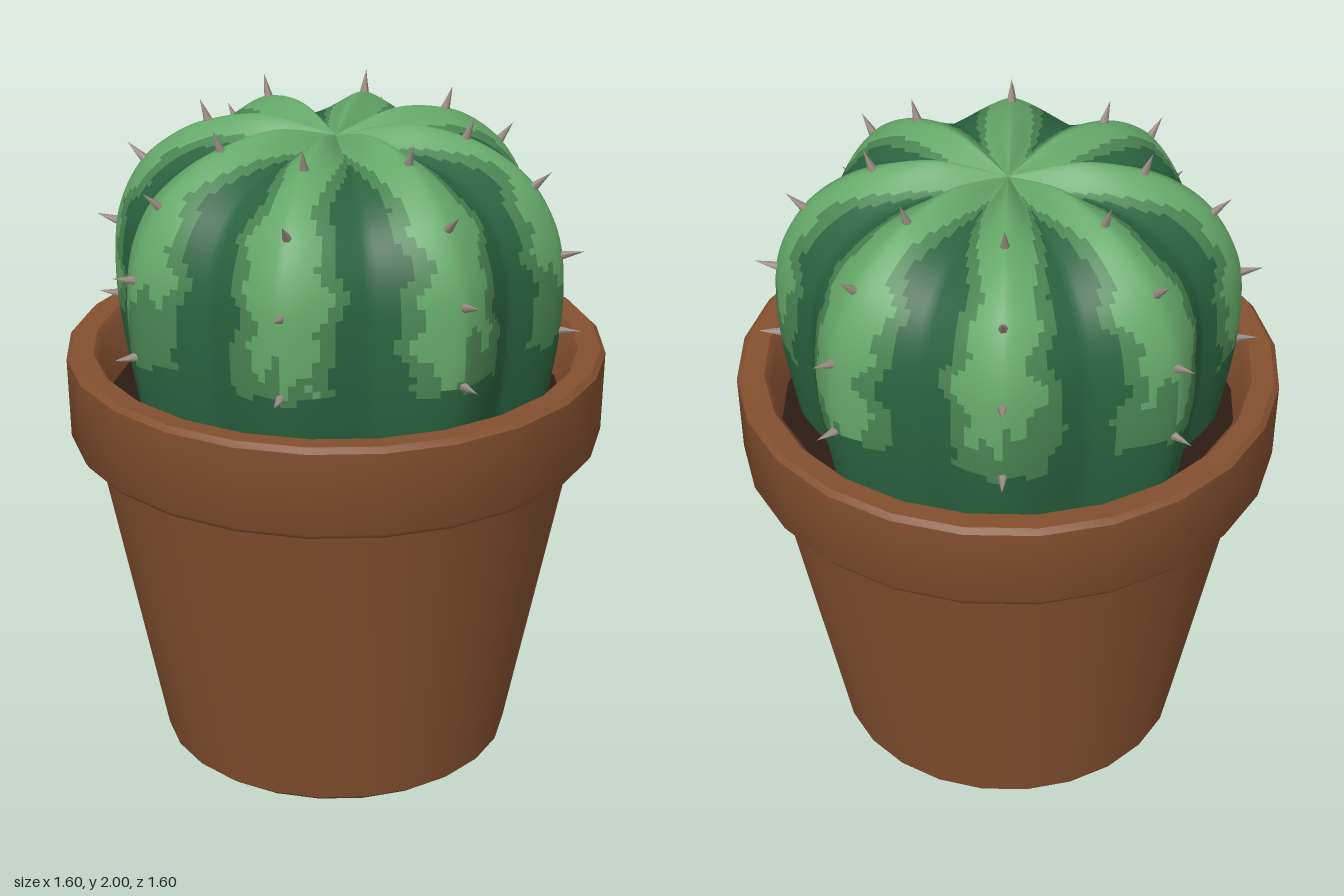
import * as THREE from 'three';
import { toCreasedNormals } from 'three/addons/utils/BufferGeometryUtils.js';

const material = (name, color) => {
  const m = new THREE.MeshStandardMaterial({ color });
  m.name = name;
  return m;
};
const clay = material('terracotta', 0x84502f);
const earth = material('dark soil', 0x2c1c13);
const spineGrey = material('spine grey', 0x9a8c82);
const greens = [
  material('dark green', 0x2a6340),
  material('middle green', 0x4a8452),
  material('light green', 0x65a869),
];

const LOBES = 8, PER_LOBE = 24, ROWS = 64;
const curve = (pts) => new THREE.SplineCurve(pts.map(([r, y]) => new THREE.Vector2(r, y)));

// Side profiles along a rib crest and along a groove, bottom to top
const crest = curve([[0.62, 1.08], [0.66, 1.3], [0.675, 1.48], [0.66, 1.65], [0.595, 1.79],
  [0.5, 1.88], [0.38, 1.94], [0.2, 1.968], [0, 1.92]]);
const groove = curve([[0.55, 1.08], [0.585, 1.3], [0.595, 1.48], [0.58, 1.65], [0.525, 1.77],
  [0.43, 1.85], [0.31, 1.89], [0.17, 1.905], [0, 1.92]]);

// Stripe colour: 0 dark, 1 middle, 2 light; t is 0 in a groove and 1 on a crest
function stripe(t, halfRib, r, y) {
  const s = halfRib * 2.7;
  const wobble = 0.07 * Math.sin(y * 17 + s * 3) + 0.05 * Math.sin(y * 41 + s * 7);
  const fade = Math.min(1, r / 0.4);
  const lightEnd = 1.47 + 0.09 * Math.sin(s * 1.9) + 0.05 * Math.sin(t * 14 + s);
  if (y < 1.365 + 0.012 * Math.sin(t * 9 + s)) return 0;
  const dark = 0.38 * THREE.MathUtils.smoothstep(r, 0.15, 0.5) + wobble * fade;
  const middle = 0.58 * THREE.MathUtils.smoothstep(r, 0.08, 0.45) + wobble * fade * 1.3;
  if (t < dark) return 0;
  return t < middle || y < lightEnd ? 1 : 2;
}

// Ribbed body: rings blended between the crest and groove profiles
function cactusBody() {
  const n = LOBES * PER_LOBE, half = PER_LOBE / 2;
  const ribs = (i) => 1 - Math.abs((i % PER_LOBE) - half) / half;
  const positions = [];
  for (let j = 0; j <= ROWS; j++) {
    const a = crest.getPoint(j / ROWS), b = groove.getPoint(j / ROWS);
    for (let i = 0; i < n; i++) {
      const t = ribs(i), w = 0.5 * t + 0.5 * t * t * (3 - 2 * t);
      const p = b.clone().lerp(a, w), angle = (i / n) * Math.PI * 2;
      positions.push(p.x * Math.sin(angle), p.y, p.x * Math.cos(angle));
    }
  }
  const buckets = [[], [], []];
  for (let j = 0; j < ROWS; j++) {
    const mid = crest.getPoint((j + 0.5) / ROWS);
    for (let i = 0; i < n; i++) {
      const k = (i + 1) % n;
      const a = j * n + i, b = j * n + k, c = a + n, d = b + n;
      const bucket = buckets[stripe(ribs(i + 0.5), Math.floor(i / half), mid.x, mid.y)];
      bucket.push(a, b, c);
      if (j < ROWS - 1) bucket.push(b, d, c);
    }
  }
  const g = new THREE.BufferGeometry();
  g.setAttribute('position', new THREE.Float32BufferAttribute(positions, 3));
  g.setIndex(buckets.flat());
  let start = 0;
  buckets.forEach((bucket, m) => {
    g.addGroup(start, bucket.length, m);
    start += bucket.length;
  });
  g.computeVertexNormals();
  // The tip is one point shared by the last ring
  for (let i = 0; i < n; i++) g.attributes.normal.setXYZ(ROWS * n + i, 0, 1, 0);
  const mesh = new THREE.Mesh(g, greens);
  mesh.name = 'cactusBody';
  return mesh;
}

// Four rows of spines along every crest: base radius, base height, upward tilt
function spines() {
  const group = new THREE.Group();
  group.name = 'spines';
  const cone = new THREE.ConeGeometry(0.018, 0.09, 6).translate(0, 0.035, 0);
  const rows = [[0.655, 1.375, 0.03], [0.655, 1.605, 0.25], [0.57, 1.8, 0.75], [0.375, 1.925, 1.2]];
  const up = new THREE.Vector3(0, 1, 0);
  for (let k = 0; k < LOBES; k++) {
    const angle = ((k + 0.5) / LOBES) * Math.PI * 2;
    const sx = Math.sin(angle), cz = Math.cos(angle);
    for (const [r, y, tilt] of rows) {
      const spine = new THREE.Mesh(cone, spineGrey);
      const c = Math.cos(tilt);
      spine.name = 'spine';
      spine.position.set(r * sx, y, r * cz);
      spine.quaternion.setFromUnitVectors(up, new THREE.Vector3(c * sx, Math.sin(tilt), c * cz));
      group.add(spine);
    }
  }
  return group;
}

export function createModel() {
  const model = new THREE.Group();
  model.name = 'pottedCactus';

  // Tapered pot with a thick collar and a hollow mouth
  const profile = [[0.001, 0], [0.505, 0], [0.53, 0.02], [0.72, 0.99], [0.785, 1.015], [0.795, 1.03],
    [0.8, 1.275], [0.785, 1.29], [0.72, 1.285], [0.7, 1.26], [0.67, 1.09]];
  const lathe = new THREE.LatheGeometry(profile.map(([r, y]) => new THREE.Vector2(r, y)), 24);
  const pot = new THREE.Mesh(toCreasedNormals(lathe, 0.7), clay);
  pot.name = 'pot';

  const soil = new THREE.Mesh(new THREE.CircleGeometry(0.68, 24).rotateX(-Math.PI / 2), earth);
  soil.name = 'soil';
  soil.position.y = 1.12;

  model.add(pot, soil, cactusBody(), spines());
  return model;
}
